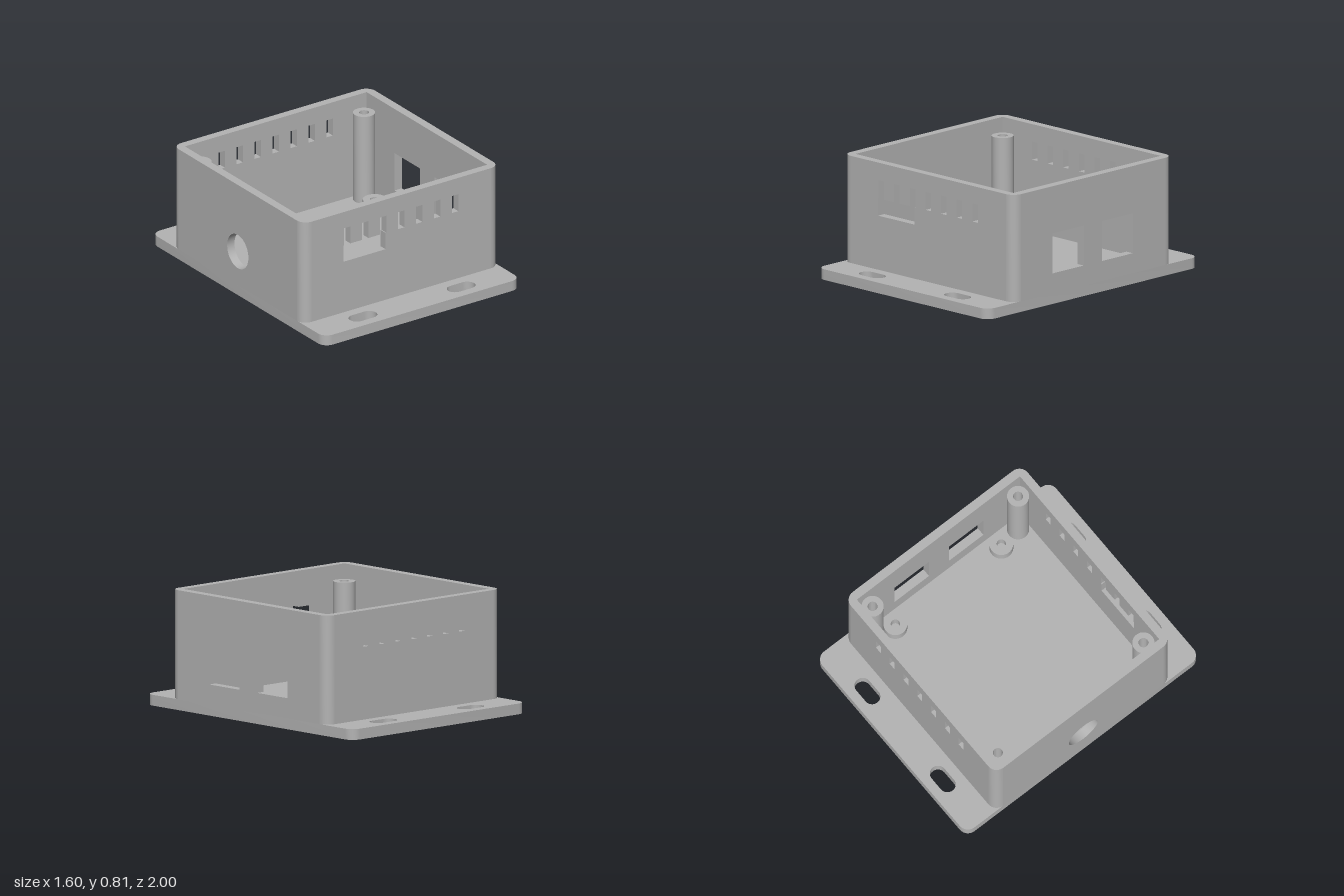
import * as THREE from 'three';
import { toCreasedNormals } from 'three/addons/utils/BufferGeometryUtils.js';

const HX = 0.8, HZ = 0.755;      // outer half sizes of the box
const IX = 0.74, IZ = 0.697;     // inner half sizes
const R = 0.07;                  // outer corner radius
const FLOOR = 0.073, TOP = 0.81;

const polygon = (pts) => pts.map(([x, y]) => new THREE.Vector2(x, y));
const rect = (x0, y0, x1, y1) => polygon([[x0, y0], [x1, y0], [x1, y1], [x0, y1]]);

function extrude(points, holes, depth) {
  const shape = new THREE.Shape(points);
  holes.forEach((h) => shape.holes.push(new THREE.Path(h)));
  const geo = new THREE.ExtrudeGeometry(shape, { depth, bevelEnabled: false });
  return toCreasedNormals(geo, 0.6);
}

// Lays an extrusion flat: shape y becomes -z, depth becomes height
const flat = (points, holes, height) => extrude(points, holes, height).rotateX(-Math.PI / 2);

function arc(cx, cy, r, a0, a1, n) {
  return Array.from({ length: n + 1 }, (_, i) => {
    const a = a0 + (a1 - a0) * i / n;
    return new THREE.Vector2(cx + r * Math.cos(a), cy + r * Math.sin(a));
  });
}
const circle = (r, cx = 0, cy = 0) => arc(cx, cy, r, 0, Math.PI * 2, 40).slice(0, -1);

export function createModel() {
  const group = new THREE.Group();
  const grey = new THREE.MeshStandardMaterial({ color: 0xb3b3b3 });
  grey.name = 'grey plastic';

  const add = (name, geo, x = 0, y = 0, z = 0) => {
    const mesh = new THREE.Mesh(geo, grey);
    mesh.name = name;
    mesh.position.set(x, y, z);
    group.add(mesh);
  };

  const H = Math.PI / 2;

  // Base plate with rounded corners and four mounting slots
  const outline = [[1, 1], [-1, 1], [-1, -1], [1, -1]].flatMap(([sx, sy], i) =>
    arc(sx * (HX - R), sy * (1 - R), R, i * H, (i + 1) * H, 8));
  const mounts = [];
  for (const x of [-0.4, 0.4]) for (const z of [-0.88, 0.88]) {
    mounts.push([
      ...arc(x + 0.05, z, 0.055, -H, H, 14),
      ...arc(x - 0.05, z, 0.055, H, 3 * H, 14),
    ]);
  }
  add('basePlate', flat(outline, mounts, FLOOR));

  // Front and back walls with a row of vents
  const slotX = (i) => -0.44 + i * 0.1465;
  const W = 0.026, V0 = 0.565, V1 = 0.69;
  const vent = (i) => rect(slotX(i) - W, V0, slotX(i) + W, V1);
  const vents = [0, 1, 2, 3, 4, 5, 6].map(vent);

  // Front port opening joined with the three vents above it
  const port = [[-0.47, 0.445], [-0.128, 0.445], [-0.128, V0]];
  for (const i of [2, 1, 0]) {
    const a = slotX(i) - W, b = slotX(i) + W;
    port.push([b, V0], [b, V1], [a, V1], [a, V0]);
  }
  port.push([-0.47, V0]);

  const panelX = rect(-(HX - R), FLOOR, HX - R, TOP);
  add('frontWall', extrude(panelX, [polygon(port), ...vents.slice(3)], HZ - IZ), 0, 0, IZ);
  add('backWall', extrude(panelX, vents, HZ - IZ), 0, 0, -HZ);

  // Side walls: two square ports on one, a round cable hole on the other
  const panelZ = rect(-(HZ - R), FLOOR, HZ - R, TOP);
  const side = (holes) => extrude(panelZ, holes, HX - IX).rotateY(H);
  add('leftWall', side([
    rect(-0.385, 0.21, -0.09, 0.485),
    rect(0.08, 0.21, 0.375, 0.485),
  ]), IX);
  add('rightWall', side([circle(0.123, 0, 0.32)]), -HX);

  // Wall corners: round outside, square inside
  for (const sx of [-1, 1]) for (const sz of [-1, 1]) {
    const cx = HX - R, cz = HZ - R;
    const pts = [
      ...arc(cx, cz, R, 0, H, 8),
      ...polygon([[cx, IZ], [IX, IZ], [IX, cz]]),
    ].map((p) => new THREE.Vector2(p.x * sx, p.y * sz));
    add('wallCorner', flat(pts, [], TOP - FLOOR), 0, FLOOR, 0);
  }

  // Tall lid posts and short board standoffs, each with a screw hole
  const post = flat(circle(0.074), [circle(0.033)], 0.71 - FLOOR);
  const standoff = flat(circle(0.08), [circle(0.031)], 0.145 - FLOOR);
  for (const s of [-1, 1]) for (const t of [-1, 1]) {
    add('lidPost', post, s * 0.666, FLOOR, t * 0.622);
    add('boardStandoff', standoff, s * 0.634, FLOOR, t * 0.453);
  }

  return group;
}
